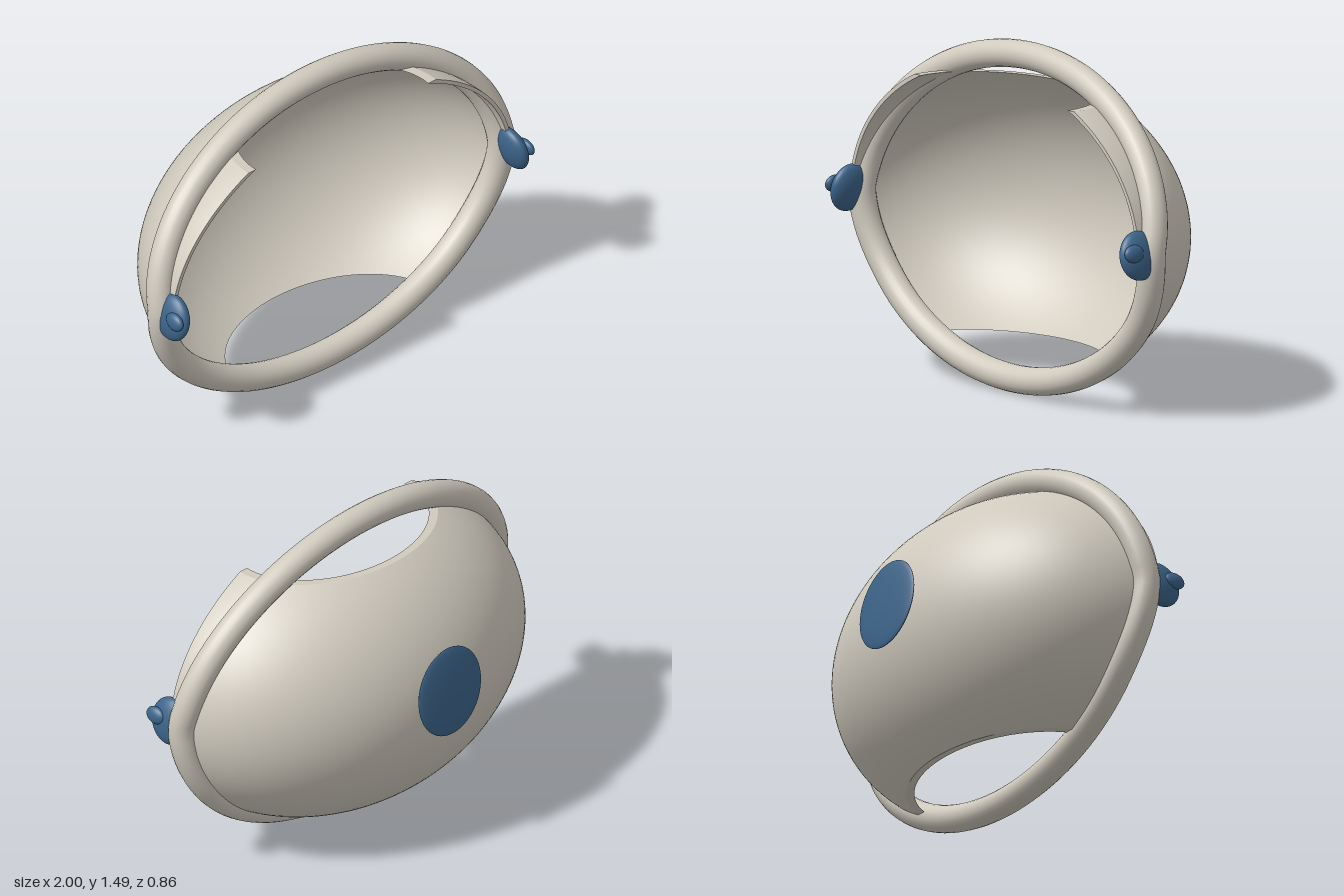
import * as THREE from 'three';
import { ParametricGeometry } from 'three/addons/geometries/ParametricGeometry.js';

const CY = 0.73, CZ = 0.3, Y0 = 0.18, Y1 = 1.305, T = 0.018;
const lerp = THREE.MathUtils.lerp;

// depth of the hoop's centreline at a given height
function hoopZ(y) {
  if (y > 0.75) return 0.255 - 0.205 * (y - 0.75);
  return lerp(0.225, 0.255, THREE.MathUtils.smoothstep(y, 0.35, 0.75));
}

// front edge of the shell: stands proud above the knobs, ends in the hoop below
function edgeZ(y) {
  return lerp(hoopZ(y), 0.325, THREE.MathUtils.smoothstep(y, 0.68, 0.82));
}

// point on the ellipsoid shell; u runs around, v up, t is the inset from outside
function shellPoint(u, v, t, target) {
  const y = lerp(Y0, Y1, v);
  const k = (y - CY) / (0.69 - t);
  const s = Math.sqrt(1 - k * k);
  const rz = (0.705 - t) * s;
  const a = Math.acos((CZ - edgeZ(y)) / rz);
  const phi = lerp(-a, a, u);
  target.set((0.94 - t) * s * Math.sin(phi), y, CZ - rz * Math.cos(phi));
}

export function createModel() {
  const group = new THREE.Group();
  const cream = new THREE.MeshStandardMaterial({ color: 0xd0cabe, side: THREE.DoubleSide });
  cream.name = 'cream';
  const blue = new THREE.MeshStandardMaterial({ color: 0x3c648a });
  blue.name = 'blue';

  const add = (name, geometry, material, parent = group) => {
    const mesh = new THREE.Mesh(geometry, material);
    mesh.name = name;
    parent.add(mesh);
    return mesh;
  };
  const ellipsoid = (name, radii, position, rotation = [0, 0, 0]) => {
    const mesh = add(name, new THREE.SphereGeometry(1, 40, 24), blue);
    mesh.scale.set(...radii);
    mesh.position.set(...position);
    mesh.rotation.set(...rotation);
    return mesh;
  };

  // bowl shell with outer and inner skins and four rims
  const shell = new THREE.Group();
  shell.name = 'shell';
  group.add(shell);
  const patch = (name, fn, nu, nv) => add(name, new ParametricGeometry(fn, nu, nv), cream, shell);
  patch('shellOuter', (u, v, p) => shellPoint(u, v, 0, p), 72, 48);
  patch('shellInner', (u, v, p) => shellPoint(1 - u, v, T, p), 72, 48);
  patch('topRim', (u, v, p) => shellPoint(u, 1, v * T, p), 72, 1);
  patch('bottomRim', (u, v, p) => shellPoint(u, 0, v * T, p), 72, 1);
  patch('rightRim', (u, v, p) => shellPoint(0, v, u * T, p), 1, 48);
  patch('leftRim', (u, v, p) => shellPoint(1, v, u * T, p), 1, 48);

  // bent oval hoop
  const points = [];
  for (let i = 0; i < 48; i++) {
    const a = (i / 48) * Math.PI * 2;
    const y = 0.748 + 0.687 * Math.sin(a);
    points.push(new THREE.Vector3(0.94 * Math.cos(a), y, hoopZ(y)));
  }
  const path = new THREE.CatmullRomCurve3(points, true);
  add('hoop', new THREE.TubeGeometry(path, 128, 0.06, 20, true), cream);

  // side knobs with a small nub on the outside
  for (const [side, s] of [['left', 1], ['right', -1]]) {
    ellipsoid(side + 'Knob', [0.044, 0.106, 0.1], [s * 0.938, 0.75, 0.325], [0, 0, s * 0.18]);
    ellipsoid(side + 'Nub', [0.022, 0.038, 0.05], [s * 0.972, 0.77, 0.38], [0, 0, s * 0.18]);
  }

  // round pad on the back
  ellipsoid('backPad', [0.188, 0.202, 0.019], [0, 0.8, -0.408], [0.09, 0, 0]);

  return group;
}
